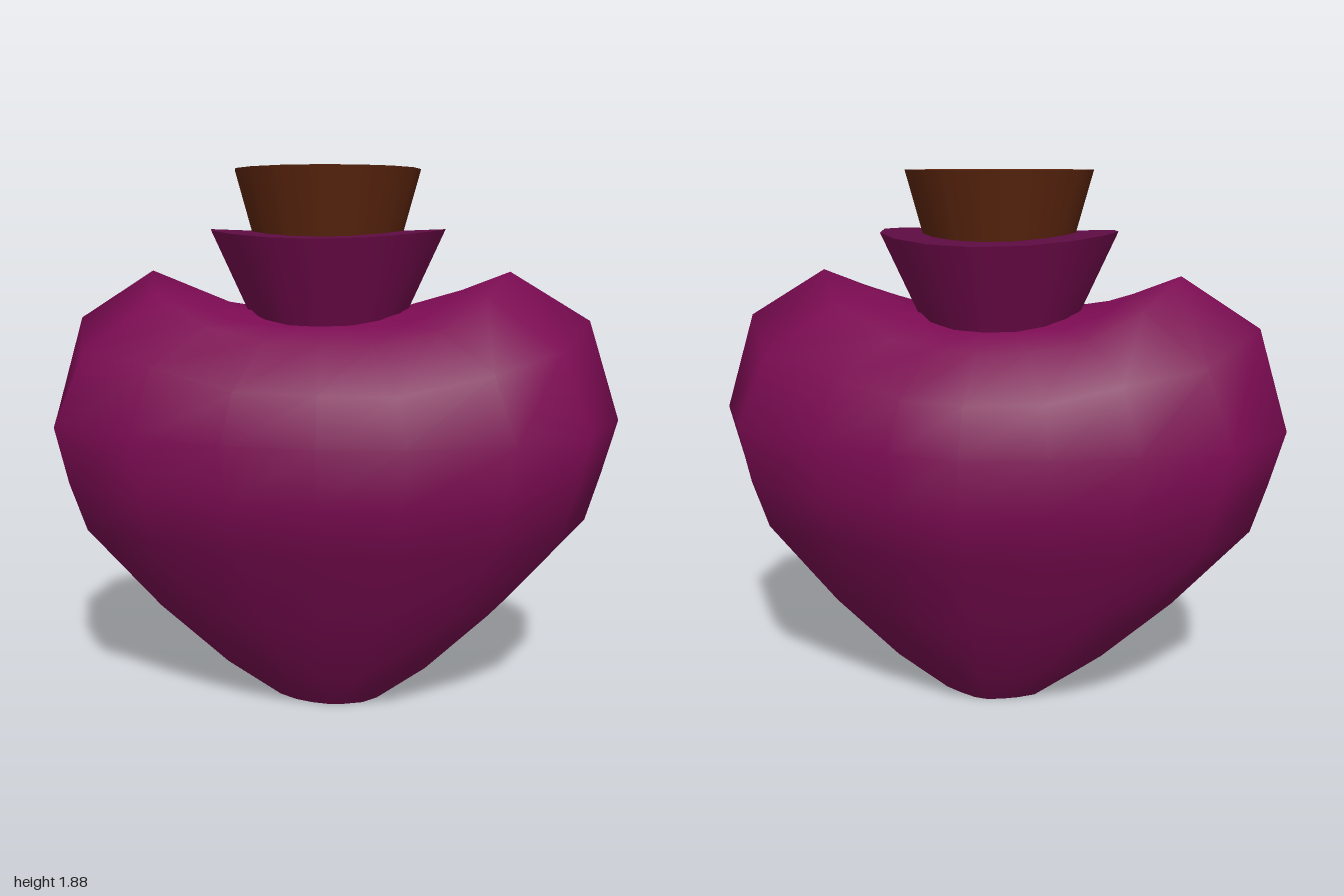
import * as THREE from 'three';

const SEG = 16;
const SHIFT = -0.015; // the neck and lobes sit slightly off centre
const DEPTH = 0.583;

// Slightly uneven plan outline [x, z], from the +x tip round the back and then the front
const OUTLINE = [
  [1, -0.018], [0.83, -0.318], [0.5, -0.468], [0.23, -0.562], [0, -0.583], [-0.27, -0.53], [-0.54, -0.442], [-0.82, -0.31],
  [-1, -0.018], [-0.91, 0.29], [-0.61, 0.45], [-0.3, 0.54], [0, 0.58], [0.27, 0.56], [0.61, 0.48], [0.86, 0.3],
];
const BACK = OUTLINE.slice(0, 9).reverse();
const FRONT = [...OUTLINE.slice(8), OUTLINE[0]];

// Height of the heart's upper ridge at distance x from the middle
const RIDGE = [[0, 1.425], [0.3, 1.415], [0.62, 1.54], [0.89, 1.375], [1, 1.03]];

// Straight-line interpolation through points sorted by their first value
function sample(points, x) {
  const i = Math.max(1, points.findIndex(p => p[0] >= x));
  const [a, b] = [points[i - 1], points[i]];
  return THREE.MathUtils.lerp(a[1], b[1], (x - a[0]) / (b[0] - a[0]));
}

// Heart body: outline rings up to the widest level, then shrinking rings draped over two lobes
function heartGeometry() {
  const rings = [];
  const lower = [[0.005, 0.2, 0.145], [0.15, 0.4, 0.255], [0.38, 0.645, 0.39], [0.67, 0.9, 0.525], [0.84, 0.95, 0.587], [1.03, 1, 0.578]];
  for (const [y, rx, rz] of lower) rings.push(OUTLINE.map(([x, z]) => [x * rx, y, z * rz / DEPTH]));
  for (const k of [0.89, 0.62, 0.46, 0.3, 0.001]) {
    rings.push(OUTLINE.map(([ox, oz]) => {
      const x = ox * k, z = oz * k;
      const w = Math.min(1, Math.abs(z / sample(z < 0 ? BACK : FRONT, x)));
      const y = 1.03 + (sample(RIDGE, Math.abs(x)) - 1.03) * Math.pow(1 - w * w, 0.6);
      return [x + SHIFT * (1 - k * k), y, z];
    }));
  }
  const index = [];
  for (let i = 0; i < rings.length - 1; i++) {
    for (let j = 0; j < SEG; j++) {
      const a = i * SEG + j, b = i * SEG + (j + 1) % SEG, c = b + SEG, d = a + SEG;
      index.push(a, b, c, a, c, d);
    }
  }
  const geo = new THREE.BufferGeometry();
  geo.setAttribute('position', new THREE.Float32BufferAttribute(rings.flat(2), 3));
  geo.setIndex(index);
  geo.computeVertexNormals();
  return geo;
}

// Flat foot with the same outline
function footGeometry() {
  const shape = new THREE.Shape(OUTLINE.map(([x, z]) => new THREE.Vector2(x * 0.2, z * 0.145 / DEPTH)));
  return new THREE.ShapeGeometry(shape).rotateX(Math.PI / 2);
}

// Flared neck whose rim dips a little at the front and back
function neckGeometry() {
  const geo = new THREE.CylinderGeometry(0.403, 0.23, 0.37, SEG);
  geo.translate(0, 1.485, 0);
  const p = geo.attributes.position;
  for (let i = 0; i < p.count; i++) {
    if (p.getY(i) < 1.6) continue;
    const a = Math.atan2(p.getZ(i), p.getX(i));
    const r = Math.hypot(p.getX(i), p.getZ(i));
    p.setY(i, 1.668 + (r > 0.1 ? 0.014 * Math.cos(2 * a) : 0));
  }
  return geo;
}

function material(name, color) {
  const mat = new THREE.MeshStandardMaterial({ color });
  mat.name = name;
  return mat;
}

export function createModel() {
  const glass = material('purple glass', 0x7b0b52);
  const rim = material('dark purple rim', 0x5e0c43);
  const corkBrown = material('cork brown', 0x5e260e);

  const group = new THREE.Group();
  group.name = 'heartBottle';
  const add = (name, geo, mat, x, y) => {
    const mesh = new THREE.Mesh(geo, mat);
    mesh.name = name;
    mesh.position.set(x, y, 0);
    group.add(mesh);
  };

  add('heartBody', heartGeometry(), glass, 0, 0);
  add('base', footGeometry(), glass, 0, 0.005);
  add('neck', neckGeometry(), [glass, rim, glass], SHIFT, 0);
  add('cork', new THREE.CylinderGeometry(0.317, 0.24, 0.28, SEG), corkBrown, SHIFT, 1.74);
  return group;
}
